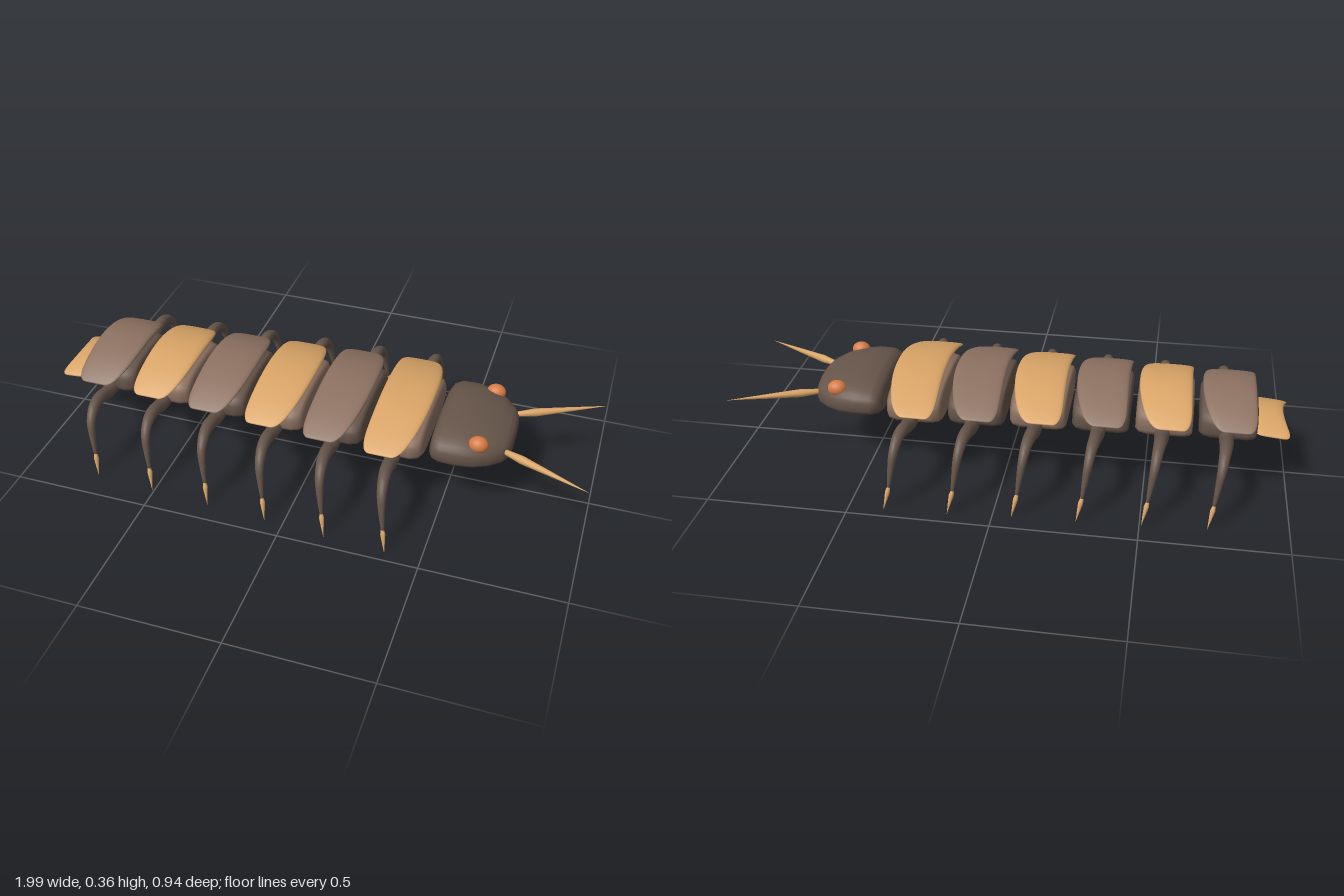
import * as THREE from 'three';

const mat = (name, color) => Object.assign(new THREE.MeshStandardMaterial({ color }), { name });
const dark = mat('dark brown', 0x66554a);
const brown = mat('plate brown', 0x8c7161);
const tan = mat('tan', 0xd8a366);
const orange = mat('eye orange', 0xd67c45);

const sgnPow = (v, p) => Math.sign(v) * Math.abs(v) ** p;

// Closed smooth skin over rings of equal point count, capped with centre points
function loft(rings) {
  const n = rings[0].length, m = rings.length, pos = [], idx = [];
  rings.forEach(r => r.forEach(p => pos.push(p.x, p.y, p.z)));
  for (let i = 0; i < m - 1; i++) {
    for (let j = 0; j < n; j++) {
      const a = i * n + j, b = i * n + (j + 1) % n;
      idx.push(a, b, a + n, b, b + n, a + n);
    }
  }
  [0, m - 1].forEach((ri, k) => {
    const c = rings[ri].reduce((s, p) => s.add(p), new THREE.Vector3()).divideScalar(n);
    const ci = pos.length / 3;
    pos.push(c.x, c.y, c.z);
    for (let j = 0; j < n; j++) {
      const a = ri * n + j, b = ri * n + (j + 1) % n;
      if (k === 0) idx.push(ci, b, a); else idx.push(ci, a, b);
    }
  });
  // Turn the faces outwards if the enclosed volume is negative
  let vol = 0;
  const v = i => new THREE.Vector3().fromArray(pos, i * 3);
  for (let i = 0; i < idx.length; i += 3) vol += v(idx[i]).dot(v(idx[i + 1]).cross(v(idx[i + 2])));
  if (vol < 0) idx.reverse();
  const g = new THREE.BufferGeometry();
  g.setAttribute('position', new THREE.Float32BufferAttribute(pos, 3));
  g.setIndex(idx);
  g.computeVertexNormals();
  return g;
}

// Cross-section in the y-z plane: round above, flatter below
function slabRing(x, w, y0, y1, topPow, lowPow) {
  const cy = y0 + (y1 - y0) * 0.45, ring = [];
  for (let j = 0; j < 40; j++) {
    const a = j / 40 * Math.PI * 2, s = Math.sin(a);
    const p = 2 / (s >= 0 ? topPow : lowPow);
    ring.push(new THREE.Vector3(x, cy + sgnPow(s, p) * (s >= 0 ? y1 - cy : cy - y0), w * sgnPow(Math.cos(a), p)));
  }
  return ring;
}

// Thin arched plate spanning z; edges(u) gives its x limits, u from -1 to 1
function archedPlate(halfWidth, top, drop, thick, edges, slope) {
  const rings = [], steps = 32;
  for (let i = 0; i <= steps; i++) {
    const u = Math.sin((i / steps - 0.5) * Math.PI);
    const [x0, x1] = edges(u);
    const round = Math.sqrt(Math.max(0, 1 - Math.abs(u) ** 11));
    const cx = (x0 + x1) / 2, hx = (x1 - x0) / 2 * (0.55 + 0.45 * round);
    const ht = thick * (0.4 + 0.6 * (1 - u * u)) * (0.3 + 0.7 * round);
    const ring = [];
    for (let j = 0; j < 24; j++) {
      const a = j / 24 * Math.PI * 2;
      const dx = hx * sgnPow(Math.cos(a), 0.75);
      ring.push(new THREE.Vector3(cx + dx, top - drop * u * u + slope * dx + ht * sgnPow(Math.sin(a), 0.75), u * halfWidth));
    }
    rings.push(ring);
  }
  return loft(rings);
}

// Round tube along a path with a changing radius
function taperedTube(points, r0, r1) {
  const curve = new THREE.CatmullRomCurve3(points.map(p => new THREE.Vector3(...p)));
  const n = 20, frames = curve.computeFrenetFrames(n), rings = [];
  for (let i = 0; i <= n; i++) {
    const t = i / n, c = curve.getPointAt(t), r = r0 + (r1 - r0) * t ** 1.5, ring = [];
    for (let j = 0; j < 12; j++) {
      const a = j / 12 * Math.PI * 2;
      ring.push(c.clone().addScaledVector(frames.normals[i], r * Math.cos(a)).addScaledVector(frames.binormals[i], r * Math.sin(a)));
    }
    rings.push(ring);
  }
  return loft(rings);
}

// Slim spindle from one point to another, widest near its start
function spike(from, to, r, r0) {
  const a = new THREE.Vector3(...from), d = new THREE.Vector3(...to).sub(a), L = d.length();
  const g = new THREE.LatheGeometry([[0, 0], [r0, 0], [r, 0.22], [r * 0.6, 0.55], [0, 1]]
    .map(([x, y]) => new THREE.Vector2(x, y * L)), 12);
  g.applyQuaternion(new THREE.Quaternion().setFromUnitVectors(new THREE.Vector3(0, 1, 0), d.normalize()));
  return g.translate(a.x, a.y, a.z);
}

export function createModel() {
  const model = new THREE.Group();
  model.name = 'armouredCrawler';
  const add = (parent, name, geometry, material) => {
    const mesh = new THREE.Mesh(geometry, material);
    mesh.name = name;
    parent.add(mesh);
    return mesh;
  };

  // Six segments growing wider towards the head, in alternating colours
  for (let i = 0; i < 6; i++) {
    const seg = new THREE.Group();
    seg.name = 'segment' + (i + 1);
    seg.position.x = -0.778 + 0.2205 * i;
    model.add(seg);

    const w = 0.158 + 0.0125 * i;
    const stations = [[-0.098, 0.86, 0.012], [-0.09, 0.95, 0.004], [-0.065, 1, 0], [0, 1, 0],
      [0.06, 1, 0], [0.088, 0.94, 0.005], [0.1, 0.82, 0.016]];
    add(seg, 'body', loft(stations.map(([x, s, inset]) =>
      slabRing(x, w * s, 0.19 + inset * 0.6, 0.317 - inset, 2.6, 3.5))), i % 2 ? brown : dark);

    add(seg, 'backPlate', archedPlate(0.222 + 0.015 * i, 0.347, 0.07, 0.015,
      u => [-0.095 + 0.006 * (1 - u * u), 0.097 - 0.05 * Math.abs(u) ** 2.3], 0), i % 2 ? tan : brown);

    // Leg and claw on either side
    const dz = 0.0125 * (i - 5);
    for (const s of [1, -1]) {
      const side = s > 0 ? 'right' : 'left';
      const path = [[0.005, 0.22, 0.19], [0.006, 0.223, 0.255], [0.008, 0.24, 0.315], [0.013, 0.239, 0.37],
        [0.019, 0.207, 0.412], [0.027, 0.145, 0.431], [0.035, 0.08, 0.441]];
      add(seg, side + 'Leg', taperedTube(path.map(([x, y, z]) => [x, y, s * (z + dz)]), 0.027, 0.006), dark);
      add(seg, side + 'Claw', spike([0.034, 0.085, s * (0.44 + dz)], [0.051, 0.001, s * (0.468 + dz)], 0.009, 0.005), tan);
    }
  }

  // Head: x, half width, bottom, top
  const head = [[0.446, 0.175, 0.208, 0.293], [0.458, 0.2, 0.199, 0.312], [0.483, 0.213, 0.193, 0.325],
    [0.54, 0.213, 0.189, 0.328], [0.6, 0.201, 0.189, 0.32], [0.65, 0.174, 0.191, 0.308],
    [0.69, 0.136, 0.194, 0.29], [0.706, 0.105, 0.2, 0.276], [0.713, 0.065, 0.212, 0.26]];
  add(model, 'head', loft(head.map(([x, w, y0, y1]) => slabRing(x, w, y0, y1, 2.5, 3))), dark);

  for (const s of [1, -1]) {
    const side = s > 0 ? 'right' : 'left';
    const eye = add(model, side + 'Eye', new THREE.SphereGeometry(0.029, 24, 16), orange);
    eye.position.set(0.61, 0.295, s * 0.158);
    eye.scale.x = 1.2;
    add(model, side + 'Antenna', spike([0.69, 0.248, s * 0.108], [1.0, 0.258, s * 0.248], 0.015, 0.009), tan);
  }

  // Tail shell, notched at its rear edge
  add(model, 'tailPlate', archedPlate(0.135, 0.255, 0.033, 0.014,
    u => [-0.97 - 0.03 * u * u, -0.85 - 0.015 * u * u], 0.09), tan);

  return model;
}
